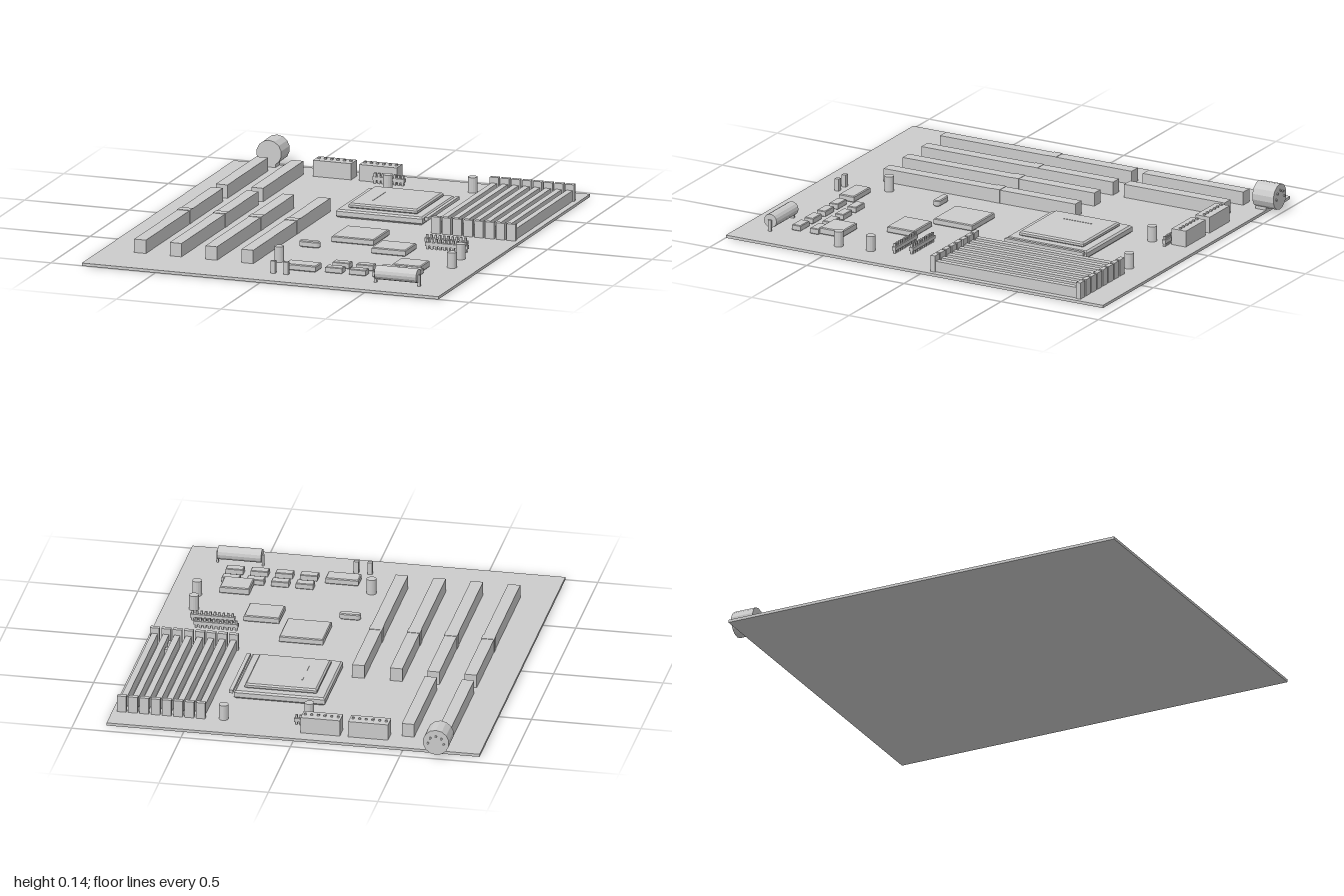
import * as THREE from 'three';

const BOARD_TOP = 0.013;

export function createModel() {
  const model = new THREE.Group();
  const mat = new THREE.MeshStandardMaterial({ color: 0xcccccc, flatShading: true });

  const add = (name, geo, x, y, z, parent = model) => {
    const mesh = new THREE.Mesh(geo, mat);
    mesh.name = name;
    mesh.position.set(x, y, z);
    parent.add(mesh);
    return mesh;
  };
  const group = (name) => {
    const g = new THREE.Group();
    g.name = name;
    model.add(g);
    return g;
  };
  // Box given by its extents in x, y and z
  const block = (name, x0, x1, z0, z1, top, parent = model, bottom = BOARD_TOP) =>
    add(name, new THREE.BoxGeometry(x1 - x0, top - bottom, z1 - z0),
      (x0 + x1) / 2, (top + bottom) / 2, (z0 + z1) / 2, parent);
  // Plate with a chamfered upper edge
  const plate = (name, x0, x1, z0, z1, bottom, top, bevel, parent = model) => {
    const w = (x1 - x0) / 2 - bevel, d = (z1 - z0) / 2 - bevel;
    const s = new THREE.Shape([[-w, -d], [w, -d], [w, d], [-w, d]].map(p => new THREE.Vector2(...p)));
    const geo = new THREE.ExtrudeGeometry(s, {
      depth: top - bottom - 2 * bevel, bevelEnabled: true,
      bevelSize: bevel, bevelThickness: bevel, bevelSegments: 1,
    });
    geo.translate(0, 0, bevel).rotateX(-Math.PI / 2);
    return add(name, geo, (x0 + x1) / 2, bottom, (z0 + z1) / 2, parent);
  };

  // Circuit board
  block('board', -0.852, 0.852, -0.94, 1.0, BOARD_TOP, model, 0);

  // Expansion slots, the long ones with a key in the middle
  [-0.67, -0.5, -0.33, -0.157].forEach((x, i) => {
    const g = group('expansionSlot');
    block('longSlot', x - 0.028, x + 0.028, -0.243, 0.743, 0.075, g);
    block('slotKey', x - 0.03, x + 0.03, 0.145, 0.188, 0.077, g);
    if (i < 2) block('shortSlot', x - 0.028, x + 0.028, -0.817, -0.3, 0.075, g);
  });

  // Memory slots with a latch at each end
  for (let i = 0; i < 8; i++) {
    const g = group('memorySlot');
    const x = 0.449 + i * 0.0515;
    block('slotBody', x - 0.014, x + 0.014, -0.79, -0.062, 0.063, g);
    for (const z of [-0.801, -0.053]) block('latch', x - 0.021, x + 0.021, z - 0.011, z + 0.011, 0.09, g);
  }
  for (const z of [-0.16, -0.09]) block('jumper', 0.722, 0.742, z - 0.012, z + 0.012, 0.04);

  // Processor socket, chip and lever
  const cpu = group('processor');
  plate('socket', -0.07, 0.345, -0.57, -0.155, BOARD_TOP, 0.05, 0.008, cpu);
  plate('processorChip', -0.026, 0.304, -0.53, -0.2, 0.048, 0.072, 0.007, cpu);
  block('chipMark', 0.057, 0.062, -0.44, -0.285, 0.0735, cpu, 0.07);
  block('lever', 0.351, 0.368, -0.565, -0.16, 0.05, cpu, 0.035);

  // Large and small chips: x0, x1, z0, z1, top
  for (const [x0, x1, z0, z1, top] of [
    [0.066, 0.267, 0.063, 0.262, 0.042],
    [0.304, 0.466, 0.25, 0.39, 0.042],
    [0.497, 0.632, 0.526, 0.643, 0.045],
    [0.037, 0.188, 0.717, 0.793, 0.042],
  ]) plate('chip', x0, x1, z0, z1, BOARD_TOP, top, 0.004);
  for (let i = 0; i < 4; i++) {
    for (const z of [0.661, 0.754]) {
      const x = 0.267 + i * 0.113;
      plate('smallChip', x - 0.04, x + 0.04, z - 0.022, z + 0.022, BOARD_TOP, 0.04, 0.003);
    }
  }

  // Power connectors with a row of pins on top
  for (const [x0, x1] of [[-0.42, -0.238], [-0.2, -0.02]]) {
    const g = group('powerConnector');
    block('housing', x0, x1, -0.873, -0.8, 0.088, g);
    for (let i = 0; i < 6; i++) {
      const x = x0 + (x1 - x0) * (i + 0.5) / 6;
      block('pin', x - 0.005, x + 0.005, -0.842, -0.832, 0.095, g, 0.086);
    }
  }

  // Pin headers: a raised bar on a row of pins
  for (const [x0, x1, z, n] of [[-0.127, 0.025, -0.785, 8], [0.47, 0.673, 0.148, 10], [0.5, 0.703, 0.22, 10]]) {
    const g = group('pinHeader');
    block('bar', x0, x1, z - 0.01, z + 0.01, 0.045, g, 0.028);
    for (let i = 0; i < n; i++) {
      const x = x0 + (x1 - x0) * (i + 0.5) / n;
      block('pin', x - 0.005, x + 0.005, z - 0.005, z + 0.005, 0.06, g);
    }
  }

  // Capacitors
  const capGeo = new THREE.CylinderGeometry(0.022, 0.022, 0.071, 16);
  for (const [x, z] of [[-0.025, -0.698], [0.347, -0.79], [0.71, 0.335], [0.727, 0.49], [-0.035, 0.661]])
    add('capacitor', capGeo, x, BOARD_TOP + 0.0355, z);

  // Posts near the front edge
  for (const x of [0.012, 0.075]) block('post', x - 0.011, x + 0.011, 0.853, 0.873, 0.07);

  // Oscillator with rounded ends
  const osc = new THREE.Shape();
  osc.absarc(0.032, 0, 0.013, -Math.PI / 2, Math.PI / 2);
  osc.absarc(-0.032, 0, 0.013, Math.PI / 2, Math.PI * 1.5);
  const oscGeo = new THREE.ExtrudeGeometry(osc, {
    depth: 0.02, bevelSize: 0.004, bevelThickness: 0.004, bevelSegments: 1, curveSegments: 8,
  });
  oscGeo.translate(0, 0, 0.004).rotateX(-Math.PI / 2);
  add('oscillator', oscGeo, 0.004, BOARD_TOP, 0.373);

  // Battery lying on two legs
  const battery = group('battery');
  const cell = add('cell', new THREE.CylinderGeometry(0.032, 0.032, 0.2, 14), 0.603, 0.06, 0.855, battery);
  cell.rotation.z = Math.PI / 2;
  for (const x of [0.499, 0.707]) block('leg', x - 0.005, x + 0.005, 0.847, 0.863, 0.066, battery);

  // Round rear connector with an arc of contacts
  const port = group('rearConnector');
  const barrel = add('barrel', new THREE.CylinderGeometry(0.06, 0.06, 0.108, 14), -0.663, 0.077, -0.939, port);
  barrel.rotation.x = Math.PI / 2;
  block('barrelBase', -0.695, -0.631, -0.94, -0.885, 0.05, port);
  for (let i = 0; i < 5; i++) {
    const a = Math.PI * i / 4;
    const pin = add('contact', new THREE.CylinderGeometry(0.005, 0.005, 0.012, 8),
      -0.663 + 0.036 * Math.cos(a), 0.072 + 0.036 * Math.sin(a), -0.994, port);
    pin.rotation.x = Math.PI / 2;
  }

  return model;
}
